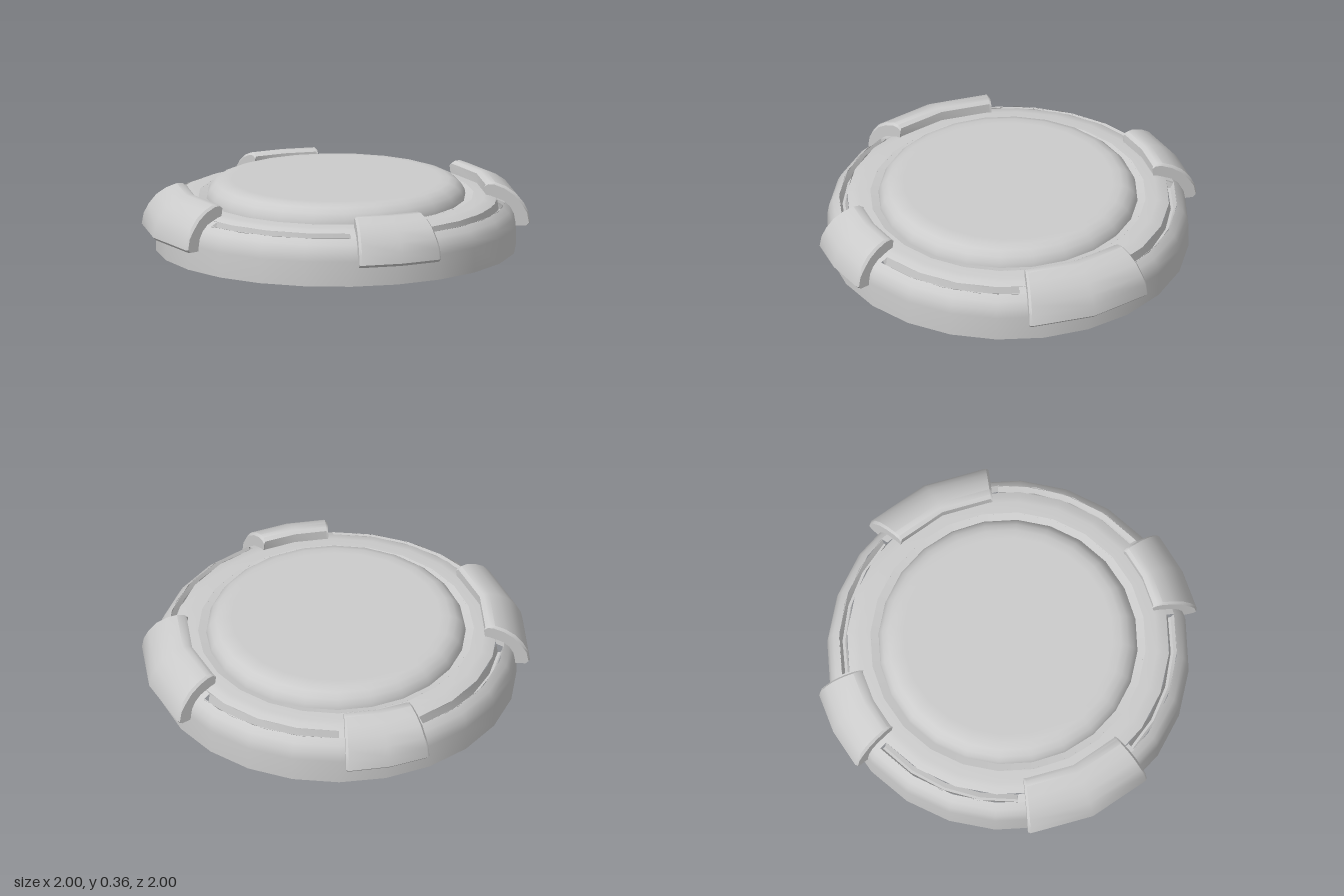
import * as THREE from 'three';
import { toCreasedNormals } from 'three/addons/utils/BufferGeometryUtils.js';

const SIDES = 24;
const material = new THREE.MeshStandardMaterial({ color: 0xcccccc, side: THREE.DoubleSide });
const rad = THREE.MathUtils.degToRad;
const toPoints = (list) => list.map(([r, y]) => new THREE.Vector2(r, y));

function addMesh(group, name, geometry) {
  const mesh = new THREE.Mesh(geometry, material);
  mesh.name = name;
  group.add(mesh);
  return mesh;
}

// Surface of revolution, whole or over an arc given in degrees from +z
function turned(list, segments = SIDES, from = 0, sweep = 360) {
  return new THREE.LatheGeometry(toPoints(list), segments, rad(from), rad(sweep));
}

// Solid clip: a closed (radius, height) section swept through +-half degrees,
// pulled in slightly at both ends to soften the edges
function clipGeometry(half) {
  const section = [
    [0.925, 0.11], [0.985, 0.11], [1.0, 0.125], [0.99, 0.18], [0.965, 0.23], [0.925, 0.28],
    [0.875, 0.315], [0.82, 0.337], [0.79, 0.338], [0.77, 0.325], [0.77, 0.265],
    [0.83, 0.25], [0.88, 0.22], [0.915, 0.17],
  ];
  const n = section.length;
  const rings = [[-half, 0.012], [-half + 0.8, 0], [0, 0], [half - 0.8, 0], [half, 0.012]];
  const positions = [];
  const index = [];
  for (const [angle, inset] of rings) {
    for (const [r, y] of section) {
      // the inset pulls the outer skin towards the shell
      const outer = r + y > 1.06 && !(r === 0.915);
      const k = outer ? inset : 0;
      const a = rad(angle);
      positions.push((r - k * 0.6) * Math.sin(a), y - k * (y > 0.2 ? 0.8 : 0), (r - k * 0.6) * Math.cos(a));
    }
  }
  for (let i = 0; i < rings.length - 1; i++) {
    for (let j = 0; j < n; j++) {
      const a = i * n + j, b = i * n + (j + 1) % n;
      index.push(a, a + n, b, b, a + n, b + n);
    }
  }
  // end faces
  const last = (rings.length - 1) * n;
  for (const [a, b, c] of THREE.ShapeUtils.triangulateShape(toPoints(section), [])) {
    index.push(a, b, c, last + a, last + c, last + b);
  }
  const geometry = new THREE.BufferGeometry();
  geometry.setAttribute('position', new THREE.Float32BufferAttribute(positions, 3));
  geometry.setIndex(index);
  return toCreasedNormals(geometry, 0.75);
}

export function createModel() {
  const model = new THREE.Group();
  model.name = 'roundCap';

  // Thin outer shell, open below
  addMesh(model, 'outerShell', turned([
    [0.93, 0], [0.93, 0.13], [0.922, 0.175], [0.902, 0.212], [0.87, 0.24],
  ]));

  // Raised collar and the lip that meets the centre cap
  addMesh(model, 'collar', turned([[0.83, 0.257], [0.8, 0.269], [0.77, 0.275], [0.71, 0.278]]));
  addMesh(model, 'collarLip', turned([[0.71, 0.278], [0.668, 0.268]]));

  // Four grooves between shell and collar, with plain bridges under the clips
  const outerEdge = [0.87, 0.24], innerEdge = [0.83, 0.257];
  for (let i = 0; i < 4; i++) {
    const start = i * 90 + (i % 2 ? 22.5 : 15);
    addMesh(model, 'groove', toCreasedNormals(
      turned([outerEdge, [0.852, 0.205], [0.838, 0.205], innerEdge], 4, start, 52.5), 0.6));
    const half = i % 2 ? 22.5 : 15;
    addMesh(model, 'grooveBridge', turned([outerEdge, innerEdge], i % 2 ? 3 : 2, i * 90 - half, half * 2));
  }

  // Domed centre cap
  addMesh(model, 'centreCap', turned([
    [0.668, 0.268], [0.664, 0.292], [0.648, 0.32], [0.62, 0.345], [0.585, 0.357], [0.54, 0.36], [0, 0.36],
  ]));

  // Inner wall hanging below the cap
  addMesh(model, 'innerWallOutside', turned([[0.705, 0.05], [0.705, 0.277]]));
  addMesh(model, 'innerWallRim', turned([[0.655, 0.05], [0.705, 0.05]]));
  addMesh(model, 'innerWallInside', turned([[0.664, 0.285], [0.655, 0.26], [0.655, 0.05]]));

  // Two narrow clips at front and back, two wide ones at the sides
  const clips = [clipGeometry(13), clipGeometry(20)];
  for (let i = 0; i < 4; i++) {
    const clip = addMesh(model, i % 2 ? 'sideClip' : 'endClip', clips[i % 2]);
    clip.rotation.y = i * Math.PI / 2;
  }
  return model;
}
